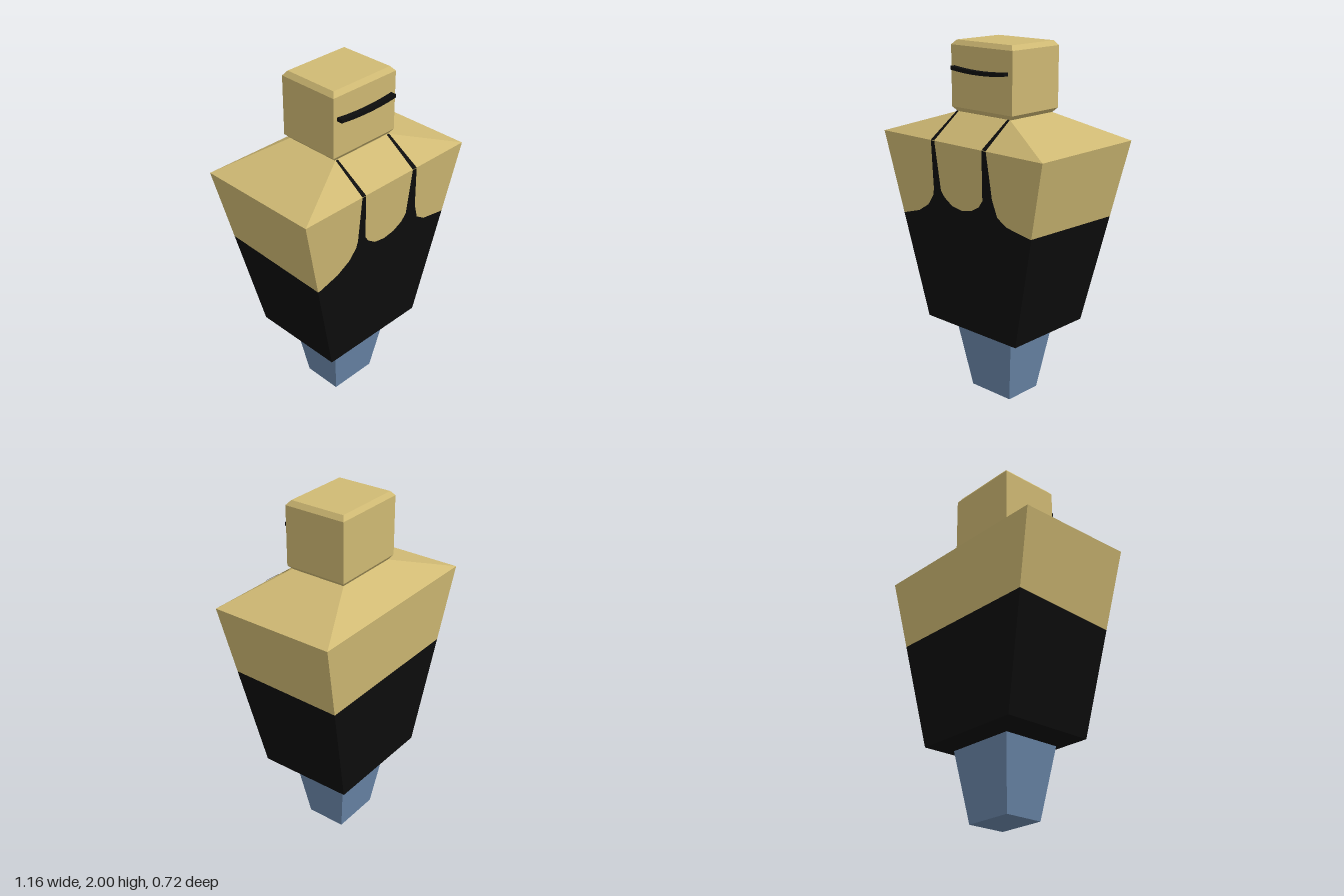
import * as THREE from 'three';

const mat = (name, color, side = THREE.FrontSide) => {
  const m = new THREE.MeshStandardMaterial({ color, side });
  m.name = name;
  return m;
};

// Rectangular ring of corners: front left, front right, back right, back left
const ring = (y, w, front, back = front) =>
  [[w, y, front], [-w, y, front], [-w, y, -back], [w, y, -back]];

// Flat-faced solid lofted through four-cornered rings, bottom to top, with caps
function loft(rings) {
  const pos = [];
  const quad = (a, b, c, d) => pos.push(...a, ...b, ...c, ...a, ...c, ...d);
  for (let i = 0; i < rings.length - 1; i++) {
    const lo = rings[i], hi = rings[i + 1];
    for (let k = 0; k < 4; k++) {
      const n = (k + 1) % 4;
      quad(lo[n], lo[k], hi[k], hi[n]);
    }
  }
  const b = rings[0], t = rings[rings.length - 1];
  quad(b[0], b[1], b[2], b[3]);
  quad(t[3], t[2], t[1], t[0]);
  const g = new THREE.BufferGeometry();
  g.setAttribute('position', new THREE.Float32BufferAttribute(pos, 3));
  g.computeVertexNormals();
  return g;
}

// Point on a torso edge at height y
function torsoCorner(sx, sz, y) {
  const t = (y - 0.43) / 1.06;
  return [sx * (0.335 + 0.245 * t), y, sz > 0 ? 0.275 + 0.08 * t : -0.275 - 0.085 * t];
}

export function createModel() {
  const group = new THREE.Group();
  const tan = mat('tan', 0xd0ba74);
  const black = mat('black', 0x0d0d0d);
  const blue = mat('blue', 0x6b88ab);
  const add = (name, geometry, material) => {
    const m = new THREE.Mesh(geometry, material);
    m.name = name;
    group.add(m);
    return m;
  };

  // Tapered leg block
  add('legs', loft([ring(0, 0.145, 0.115), ring(0.4, 0.21, 0.175)]), blue);

  // Torso, split along the top edge of the garment
  const split = [torsoCorner(1, 1, 1.08), torsoCorner(-1, 1, 1.03),
    torsoCorner(-1, -1, 1.06), torsoCorner(1, -1, 1.06)];
  add('garment', loft([ring(0.4, 0.21, 0.175), ring(0.43, 0.335, 0.275), split]), black);
  add('chest', loft([split, ring(1.49, 0.58, 0.355, 0.36), ring(1.62, 0.195, 0.165)]), tan);

  // Scooped neckline and front straps, laid on the sloping chest
  const outline = [
    [-0.474, 1.03], [-0.34, 1.07], [-0.26, 1.12], [-0.215, 1.18], [-0.205, 1.22], [-0.198, 1.49],
    [-0.172, 1.49], [-0.15, 1.22], [-0.125, 1.185], [-0.07, 1.147], [0, 1.135], [0.07, 1.147],
    [0.13, 1.18], [0.16, 1.22], [0.176, 1.49],
    [0.206, 1.49], [0.23, 1.24], [0.26, 1.15], [0.32, 1.11], [0.485, 1.08],
  ].map(([x, y]) => new THREE.Vector2(x, y));
  const bib = new THREE.ShapeGeometry(new THREE.Shape(outline));
  const p = bib.attributes.position;
  for (let i = 0; i < p.count; i++) p.setZ(i, torsoCorner(1, 1, p.getY(i))[2] + 0.003);
  bib.computeVertexNormals();
  add('neckline', bib, black);

  // Straps running over the shoulder slope
  for (const [name, x0, x1, top0, top1] of [
    ['rightStrap', -0.198, -0.172, -0.195, -0.18], ['leftStrap', 0.176, 0.206, 0.178, 0.195]]) {
    const a = [x0, 1.493, 0.358], b = [x1, 1.493, 0.358];
    const c = [top1, 1.623, 0.168], d = [top0, 1.623, 0.168];
    const g = new THREE.BufferGeometry();
    g.setAttribute('position', new THREE.Float32BufferAttribute(
      [a, b, c, a, c, d].flat(), 3));
    g.computeVertexNormals();
    add(name, g, black);
  }

  // Head block with bevelled top and bottom
  add('head', loft([
    ring(1.62, 0.195, 0.16, 0.165), ring(1.645, 0.22, 0.178, 0.183),
    ring(1.975, 0.22, 0.178, 0.183), ring(2, 0.198, 0.157, 0.165)]), tan);

  // Thin curved mouth bar
  const mouth = new THREE.Shape();
  mouth.moveTo(-0.195, 1.847);
  mouth.quadraticCurveTo(0, 1.823, 0.19, 1.847);
  mouth.lineTo(0.19, 1.867);
  mouth.quadraticCurveTo(0, 1.843, -0.195, 1.867);
  mouth.closePath();
  add('mouth', new THREE.ExtrudeGeometry(mouth, { depth: 0.034, bevelEnabled: false }), black)
    .position.z = 0.176;

  return group;
}
